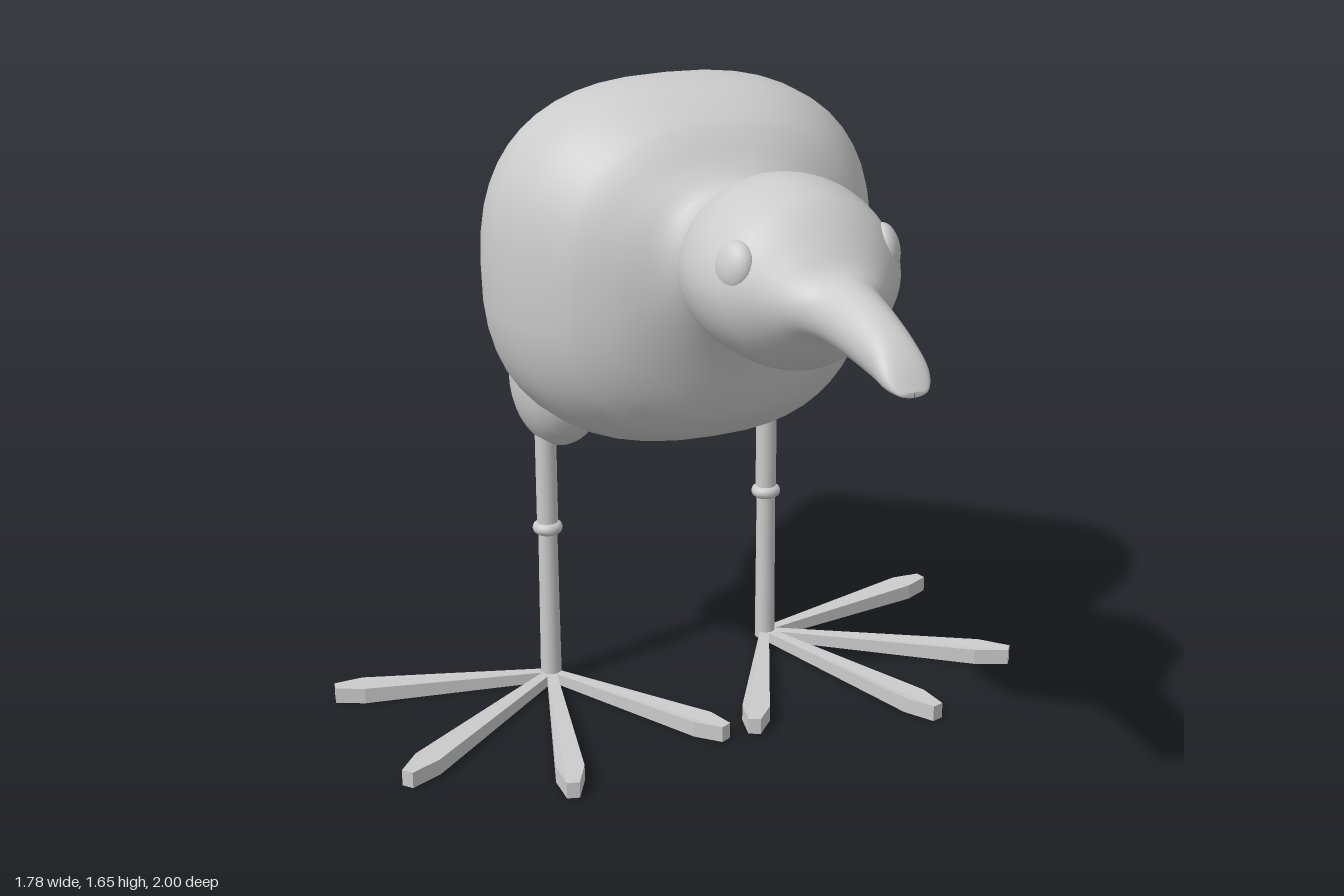
import * as THREE from 'three';

// Cross-sections from tail to beak tip: z, half width, bottom, top, roundness exponent
const SECTIONS = [
  [-1, 0.001, 1.18, 1.21, 2], [-0.99, 0.03, 1.14, 1.23, 2], [-0.95, 0.08, 1.11, 1.255, 2],
  [-0.88, 0.145, 1.045, 1.295, 2], [-0.8, 0.24, 0.97, 1.35, 2], [-0.7, 0.32, 0.89, 1.42, 2.1],
  [-0.6, 0.37, 0.83, 1.485, 2.2], [-0.5, 0.415, 0.785, 1.55, 2.3], [-0.4, 0.47, 0.75, 1.61, 2.5],
  [-0.3, 0.5, 0.733, 1.645, 2.6], [-0.2, 0.502, 0.732, 1.65, 2.6], [-0.1, 0.48, 0.742, 1.64, 2.6],
  [0, 0.425, 0.775, 1.595, 2.5], [0.05, 0.382, 0.81, 1.555, 2.4], [0.1, 0.31, 0.875, 1.5, 2.3],
  [0.15, 0.215, 1.03, 1.465, 2.1], [0.2, 0.175, 1.112, 1.473, 2], [0.25, 0.207, 1.107, 1.495, 2],
  [0.3, 0.235, 1.096, 1.522, 1.95], [0.4, 0.252, 1.09, 1.536, 1.9], [0.5, 0.236, 1.1, 1.512, 1.9],
  [0.55, 0.208, 1.125, 1.48, 1.9], [0.6, 0.165, 1.165, 1.43, 1.9], [0.65, 0.12, 1.212, 1.378, 2],
  [0.7, 0.085, 1.212, 1.365, 2], [0.8, 0.07, 1.203, 1.343, 2], [0.9, 0.06, 1.193, 1.303, 2.2],
  [0.96, 0.057, 1.189, 1.255, 2.3], [0.995, 0.035, 1.188, 1.208, 2], [1, 0.001, 1.19, 1.2, 2],
];
const SIDES = 48;
const STEPS = 4; // rings between neighbouring sections

// One smooth skin, cut into body, head and beak that share their normals
function addSkin(group, material) {
  const widths = new THREE.CatmullRomCurve3(
    SECTIONS.map((s) => new THREE.Vector3(s[0], s[1], s[4])), false, 'catmullrom');
  const heights = new THREE.CatmullRomCurve3(
    SECTIONS.map((s) => new THREE.Vector3(s[0], s[2], s[3])), false, 'catmullrom');
  const rings = (SECTIONS.length - 1) * STEPS;
  const positions = [];
  const index = [];
  const power = (v, n) => Math.sign(v) * Math.abs(v) ** (2 / n);
  for (let i = 0; i <= rings; i++) {
    const w = widths.getPoint(i / rings);
    const h = heights.getPoint(i / rings);
    for (let j = 0; j < SIDES; j++) {
      const a = (j / SIDES) * Math.PI * 2;
      positions.push(
        Math.max(w.y, 0.001) * power(Math.cos(a), w.z),
        (h.y + h.z) / 2 + ((h.z - h.y) / 2) * power(Math.sin(a), w.z),
        w.x);
    }
  }
  for (let i = 0; i < rings; i++) {
    for (let j = 0; j < SIDES; j++) {
      const a = i * SIDES + j;
      const b = i * SIDES + ((j + 1) % SIDES);
      index.push(a, b, a + SIDES, b, b + SIDES, a + SIDES);
    }
  }
  const skin = new THREE.BufferGeometry();
  skin.setAttribute('position', new THREE.Float32BufferAttribute(positions, 3));
  skin.setIndex(index);
  skin.computeVertexNormals();

  const perSection = STEPS * SIDES * 6;
  const parts = [['body', 0, 16], ['head', 16, 23], ['beak', 23, SECTIONS.length - 1]];
  for (const [name, from, to] of parts) {
    const geometry = skin.clone();
    geometry.setIndex(index.slice(from * perSection, to * perSection));
    const mesh = new THREE.Mesh(geometry, material);
    mesh.name = name;
    group.add(mesh);
  }
}

// Flat paddle-shaped toe lying along +x, thicker towards its tip
function toeGeometry(length) {
  const outline = new THREE.Shape([
    [0, -0.012], [length * 0.87, -0.036], [length, -0.016],
    [length, 0.016], [length * 0.87, 0.036], [0, 0.012],
  ].map(([x, y]) => new THREE.Vector2(x, y)));
  const geometry = new THREE.ExtrudeGeometry(outline, { depth: 0.028, bevelEnabled: false });
  geometry.rotateX(-Math.PI / 2);
  const p = geometry.attributes.position;
  for (let i = 0; i < p.count; i++) {
    const t = Math.min(p.getX(i) / (length * 0.87), 1);
    p.setY(i, p.getY(i) * (1 + 0.5 * t));
  }
  geometry.computeVertexNormals();
  return geometry;
}

export function createModel() {
  const group = new THREE.Group();
  group.name = 'bird';
  const smooth = new THREE.MeshStandardMaterial({ color: 0xcccccc });
  const flat = new THREE.MeshStandardMaterial({ color: 0xcccccc, flatShading: true });
  const add = (parent, name, geometry, material, x, y, z) => {
    const mesh = new THREE.Mesh(geometry, material);
    mesh.name = name;
    mesh.position.set(x, y, z);
    parent.add(mesh);
    return mesh;
  };

  addSkin(group, smooth);

  // Toe offsets from the leg, outward x and z
  const toes = [[0.566, -0.12], [0.54, 0.42], [0.19, 0.645], [-0.28, 0.52]];

  for (const side of [1, -1]) {
    const label = side > 0 ? 'left' : 'right';

    // Eye
    const eye = add(group, label + 'Eye', new THREE.SphereGeometry(1, 24, 16), smooth,
      side * 0.192, 1.375, 0.515);
    eye.scale.set(0.03, 0.057, 0.05);
    eye.rotation.set(0, side * -0.45, side * 0.25);

    // Thigh bulge under the body
    const thigh = add(group, label + 'Thigh', new THREE.SphereGeometry(1, 32, 20), smooth,
      side * 0.275, 0.86, -0.385);
    thigh.scale.set(0.125, 0.19, 0.148);

    // Leg with a ringed joint
    const leg = new THREE.Group();
    leg.name = label + 'Leg';
    leg.position.set(side * 0.32, 0, -0.37);
    group.add(leg);
    add(leg, 'upperLeg', new THREE.CylinderGeometry(0.028, 0.028, 0.36, 16), smooth, 0, 0.62, 0);
    add(leg, 'lowerLeg', new THREE.CylinderGeometry(0.025, 0.028, 0.44, 16), smooth, 0, 0.23, 0);
    const joint = add(leg, 'joint', new THREE.TorusGeometry(0.023, 0.017, 10, 24), smooth, 0, 0.445, 0);
    joint.rotation.x = Math.PI / 2;

    // Splayed toes
    for (const [dx, dz] of toes) {
      const toe = add(leg, 'toe', toeGeometry(Math.hypot(dx, dz)), flat, 0, 0, 0);
      toe.rotation.y = Math.atan2(-dz, side * dx);
    }
  }
  return group;
}
